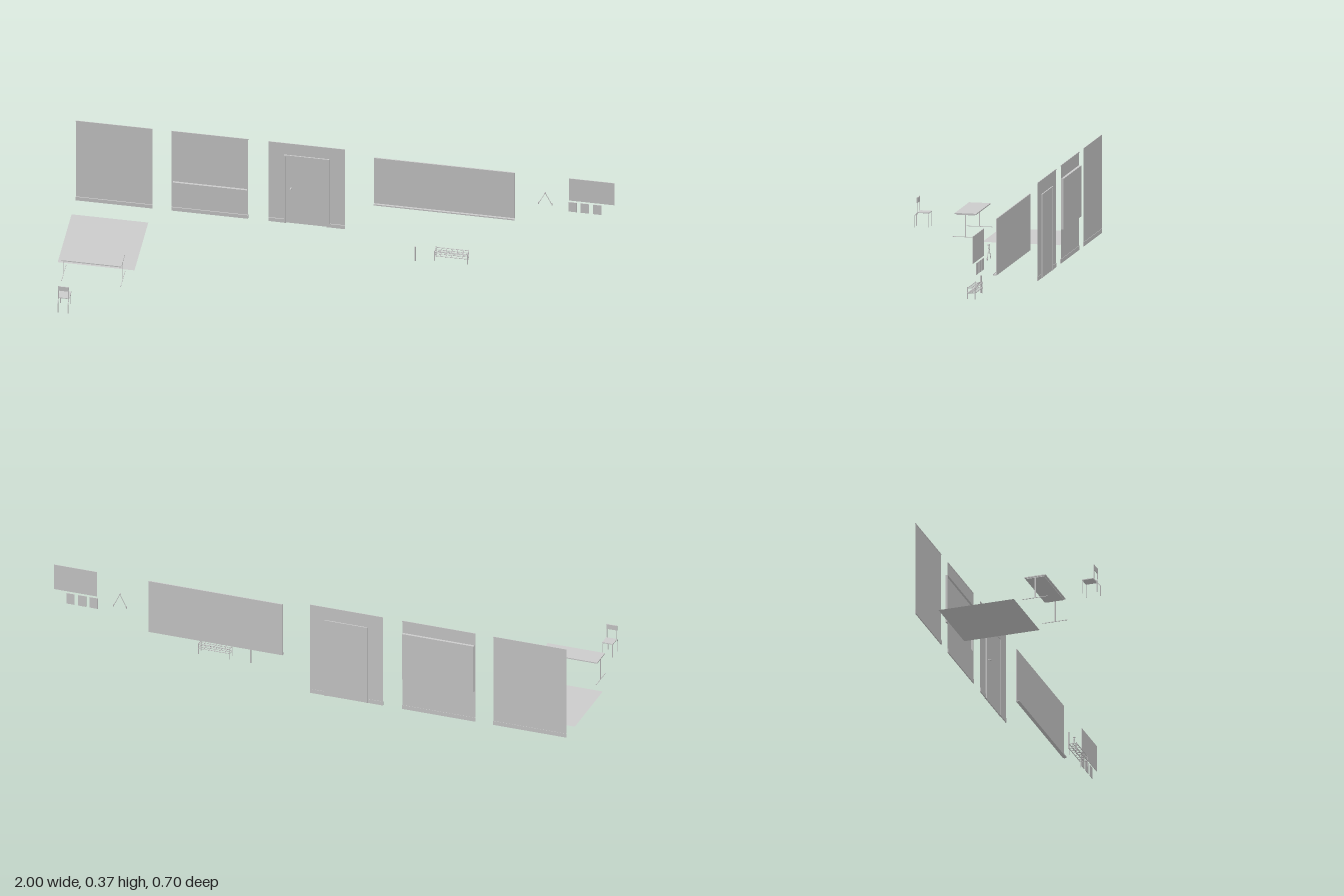
import * as THREE from 'three';

const grey = new THREE.MeshStandardMaterial({ color: 0xcccccc, side: THREE.DoubleSide });
const WALL_Z = -0.337, WALL_H = 0.365;

function add(parent, name, geometry) {
  const mesh = new THREE.Mesh(geometry, grey);
  mesh.name = name;
  parent.add(mesh);
  return mesh;
}

// box given by its limits on each axis
function box(parent, name, x0, x1, y0, y1, z0, z1) {
  const m = add(parent, name, new THREE.BoxGeometry(x1 - x0, y1 - y0, z1 - z0));
  m.position.set((x0 + x1) / 2, (y0 + y1) / 2, (z0 + z1) / 2);
  return m;
}

// straight round bar between two points
function bar(parent, name, a, b, r) {
  const p = new THREE.Vector3(...a), q = new THREE.Vector3(...b);
  const m = add(parent, name, new THREE.CylinderGeometry(r, r, p.distanceTo(q), 8));
  m.position.copy(p).add(q).multiplyScalar(0.5);
  m.quaternion.setFromUnitVectors(new THREE.Vector3(0, 1, 0), q.sub(p).normalize());
  return m;
}

function group(parent, name) {
  const g = new THREE.Group();
  g.name = name;
  parent.add(g);
  return g;
}

function rect(path, x0, x1, y0, y1) {
  path.moveTo(x0, y0).lineTo(x1, y0).lineTo(x1, y1).lineTo(x0, y1).closePath();
  return path;
}

// thin wall panel, optionally with a rectangular opening [x0, x1, y0, y1]
function wall(parent, name, x0, x1, opening) {
  const g = group(parent, name);
  const shape = rect(new THREE.Shape(), x0, x1, 0, WALL_H);
  if (opening) shape.holes.push(rect(new THREE.Path(), ...opening));
  add(g, 'wallPanel', new THREE.ShapeGeometry(shape)).position.z = WALL_Z;
  box(g, 'topTrim', x0, x1, WALL_H - 0.004, WALL_H, WALL_Z - 0.001, WALL_Z + 0.001);
  const runs = opening && opening[2] < 0.01 ? [[x0, opening[0]], [opening[1], x1]] : [[x0, x1]];
  for (const [a, b] of runs) box(g, 'baseboard', a, b, 0, 0.016, WALL_Z - 0.001, WALL_Z + 0.003);
  return g;
}

// wide window recessed behind its wall
function windowWall(parent) {
  const [x0, x1, y0, y1] = [-0.641, -0.364, 0.127, 0.314], back = -0.347;
  const g = wall(parent, 'windowWall', -0.645, -0.36, [x0, x1, y0, y1]);
  box(g, 'windowPane', x0, x1, y0, y1, back, back + 0.002);
  for (const y of [y0, y1]) box(g, 'windowSill', x0, x1, y - 0.001, y + 0.001, back, WALL_Z);
  for (const x of [x0, x1]) box(g, 'windowJamb', x - 0.001, x + 0.001, y0, y1, back, WALL_Z);
}

// door leaf, frame and handle
function doorWall(parent) {
  const [x0, x1, top] = [-0.226, -0.057, 0.312];
  const g = wall(parent, 'doorWall', -0.285, 0, [x0, x1, 0.0005, top]);
  box(g, 'doorLeaf', x0 + 0.006, x1 - 0.012, 0.001, top - 0.006, -0.34, -0.336);
  box(g, 'doorFrameSide', x0, x0 + 0.006, 0, top, -0.341, -0.332);
  box(g, 'doorFrameSide', x1 - 0.012, x1, 0, top, -0.341, -0.333);
  box(g, 'doorFrameTop', x0, x1, top - 0.006, top, -0.341, -0.333);
  bar(g, 'handleStem', [-0.2, 0.164, -0.336], [-0.2, 0.164, -0.328], 0.002);
  const knob = add(g, 'doorKnob', new THREE.SphereGeometry(0.004, 12, 8));
  knob.position.set(-0.2, 0.164, -0.326);
}

// wall board with a chalk tray
function board(parent) {
  const g = group(parent, 'board');
  box(g, 'boardPanel', 0.108, 0.63, 0.134, 0.344, -0.336, -0.332);
  box(g, 'chalkTray', 0.108, 0.63, 0.133, 0.136, -0.333, -0.322);
  box(g, 'trayLip', 0.108, 0.63, 0.136, 0.138, -0.323, -0.322);
}

// drawing compass hung on the wall
function compass(parent) {
  const g = group(parent, 'compass'), z = -0.333;
  const apex = [0.743, 0.267, z];
  for (const x of [0.718, 0.768]) {
    bar(g, 'compassLeg', apex, [x, 0.216, z], 0.0012);
    bar(g, 'compassTip', [x, 0.222, z], [x, 0.213, z], 0.0022);
  }
  bar(g, 'compassHinge', [0.743, 0.267, z - 0.003], [0.743, 0.267, z + 0.004], 0.003);
}

// hanging chart with three small cards below
function charts(parent) {
  const g = group(parent, 'charts');
  box(g, 'wallChart', 0.832, 1, 0.243, 0.344, -0.336, -0.334);
  for (const x of [0.829, 0.874, 0.92]) box(g, 'smallCard', x, x + 0.031, 0.192, 0.235, -0.336, -0.334);
}

// low two-level rack made of crossing bars
function rack(parent) {
  const g = group(parent, 'rack');
  const [x0, x1, z0, z1, r] = [0.358, 0.48, -0.217, -0.189, 0.0014];
  for (const x of [x0, x1])
    for (const z of [z0, z1]) bar(g, 'rackLeg', [x, 0.012, z], [x, 0.057, z], r);
  for (const y of [0.053, 0.035]) {
    for (let i = 0; i < 3; i++) {
      const z = z0 + (z1 - z0) * i / 2;
      bar(g, 'longBar', [x0, y, z], [x1, y, z], r);
    }
    for (let i = 0; i < 7; i++) {
      const x = x0 + (x1 - x0) * i / 6;
      bar(g, 'crossBar', [x, y, z0], [x, y, z1], r);
    }
  }
}

// table with a T-shaped leg at each end
function table(parent) {
  const g = group(parent, 'table');
  box(g, 'tableTop', -0.967, -0.744, 0.094, 0.098, 0.074, 0.155);
  box(g, 'underFrame', -0.964, -0.747, 0.091, 0.094, 0.08, 0.149);
  for (const x of [-0.965, -0.746]) {
    box(g, 'tableLeg', x - 0.001, x + 0.001, 0.01, 0.092, 0.113, 0.117);
    box(g, 'tableFoot', x - 0.001, x + 0.001, 0.009, 0.011, 0.066, 0.163);
  }
}

// tubular chair facing the table
function chair(parent) {
  const g = group(parent, 'chair');
  const front = [[0.008, 0.292], [0.058, 0.292], [0.062, 0.296], [0.062, 0.334]];
  const rear = [[0.006, 0.347], [0.048, 0.347], [0.062, 0.335], [0.118, 0.336]];
  for (const x of [-0.946, -0.908])
    for (const pts of [front, rear])
      for (let i = 0; i < 3; i++)
        bar(g, 'chairFrame', [x, ...pts[i]], [x, ...pts[i + 1]], 0.0015);
  box(g, 'seat', -0.948, -0.906, 0.061, 0.064, 0.29, 0.333);
  box(g, 'backrest', -0.948, -0.906, 0.098, 0.117, 0.334, 0.337);
}

export function createModel() {
  const model = new THREE.Group();
  model.name = 'classroomSet';

  // floor square
  const floor = add(model, 'floor', new THREE.PlaneGeometry(0.285, 0.292));
  floor.rotation.x = -Math.PI / 2;
  floor.position.set(-0.8575, 0.0005, -0.102);

  wall(model, 'plainWall', -1, -0.715);
  windowWall(model);
  doorWall(model);
  board(model);
  compass(model);
  charts(model);
  bar(model, 'post', [0.285, 0, -0.193], [0.285, 0.065, -0.193], 0.0032);
  rack(model);
  table(model);
  chair(model);
  return model;
}
